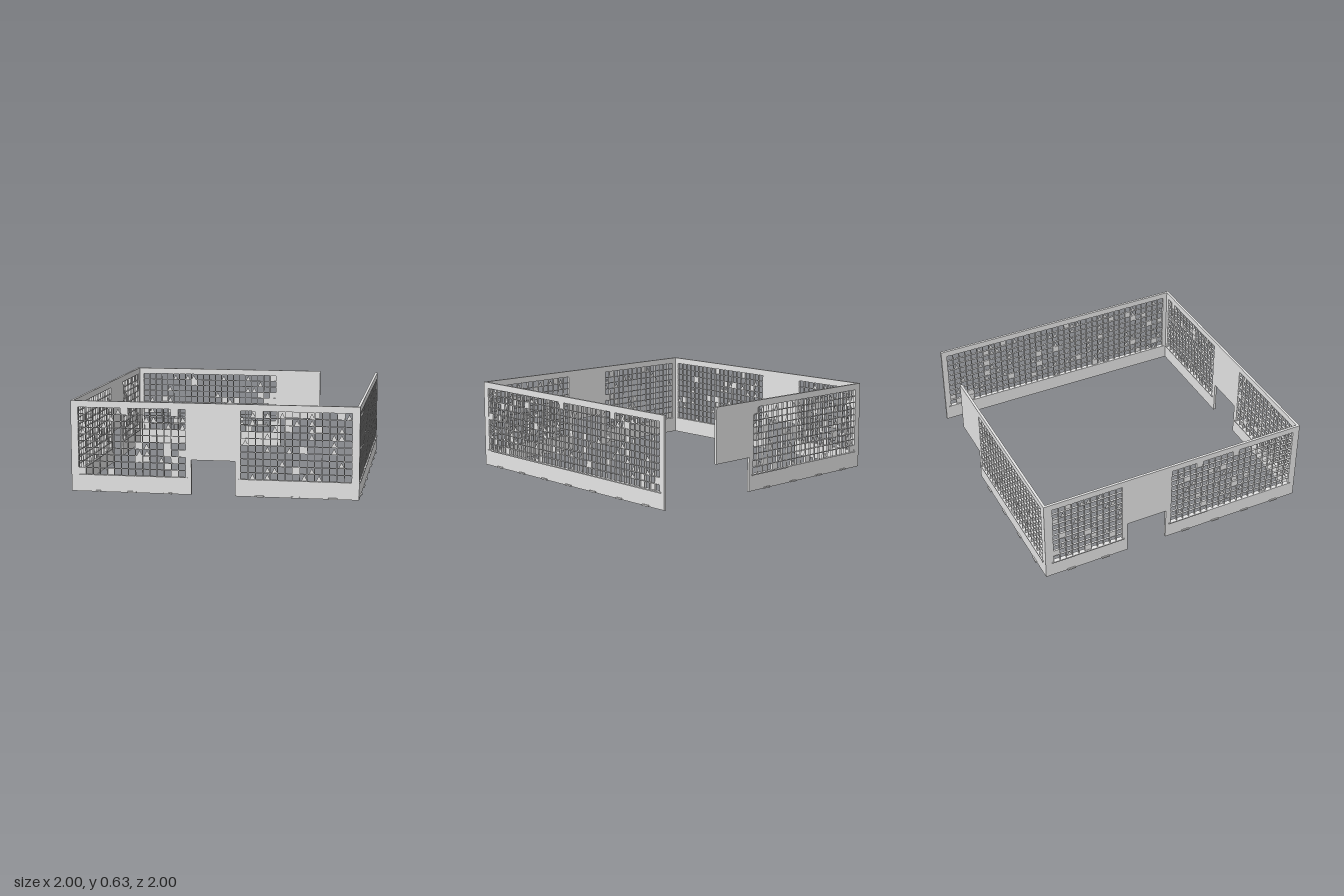
import * as THREE from 'three';
import { mergeGeometries } from 'three/addons/utils/BufferGeometryUtils.js';

const HEIGHT = 0.63, DOOR_TOP = 0.24, DEPTH = 0.018, OFFSET = 0.982;
const GRID_BOTTOM = 0.118, GRID_TOP = 0.585, ROWS = 10, BAR = 0.004;

// Walls run along local x with local +z facing outwards.
const WALLS = [
  { name: 'frontWall', pos: [0, 0, OFFSET], turn: 0, from: -0.991, to: 0.991,
    door: [-0.15, 0.15], grids: [[-0.94, -0.19], [0.19, 0.94]] },
  { name: 'backWall', pos: [0, 0, -OFFSET], turn: Math.PI, from: -0.527, to: 0.991,
    door: [-0.527, -0.205], grids: [[-0.165, 0.94]] },
  { name: 'leftWall', pos: [OFFSET, 0, 0], turn: Math.PI / 2, from: -0.973, to: 0.973,
    door: null, grids: [[-0.94, 0.93]] },
  { name: 'rightWall', pos: [-OFFSET, 0, 0], turn: -Math.PI / 2, from: -0.973, to: 0.973,
    door: [-0.37, -0.07], grids: [[-0.93, -0.41], [-0.03, 0.94]] },
];

function seeded(seed) {
  return () => (seed = (seed * 16807) % 2147483647) / 2147483647;
}

function box(w, h, d, x, y, z) {
  return new THREE.BoxGeometry(w, h, d).translate(x, y, z);
}

// Solid panel with a doorway notch and rectangular grid openings.
function panelGeometry({ from, to, door, grids }) {
  const pts = [[to, 0], [to, HEIGHT], [from, HEIGHT]];
  if (!door) pts.push([from, 0]);
  else {
    if (door[0] > from) pts.push([from, 0], [door[0], 0]);
    pts.push([door[0], DOOR_TOP], [door[1], DOOR_TOP], [door[1], 0]);
  }
  const shape = new THREE.Shape(pts.map(p => new THREE.Vector2(...p)));
  for (const [a, b] of grids) {
    const hole = [[a, GRID_BOTTOM], [a, GRID_TOP], [b, GRID_TOP], [b, GRID_BOTTOM]];
    shape.holes.push(new THREE.Path(hole.map(p => new THREE.Vector2(...p))));
  }
  return new THREE.ExtrudeGeometry(shape, { depth: DEPTH, bevelEnabled: false })
    .translate(0, 0, -DEPTH / 2);
}

// Crossing slats that fill one opening.
function gridGeometry(a, b) {
  const parts = [], cols = Math.round((b - a) / 0.0495);
  const h = GRID_TOP - GRID_BOTTOM, midY = (GRID_TOP + GRID_BOTTOM) / 2;
  for (let i = 1; i < cols; i++) {
    parts.push(box(BAR, h, DEPTH - 0.002, a + (b - a) * i / cols, midY, 0));
  }
  for (let j = 1; j < ROWS; j++) {
    parts.push(box(b - a, BAR, DEPTH - 0.003, (a + b) / 2, GRID_BOTTOM + h * j / ROWS, 0));
  }
  return mergeGeometries(parts);
}

// Scattered cells closed by a square or a corner triangle.
function infillGeometry(a, b, random) {
  const parts = [], cols = Math.round((b - a) / 0.0495);
  const w = (b - a) / cols, h = (GRID_TOP - GRID_BOTTOM) / ROWS;
  for (let i = 0; i < cols; i++) {
    for (let j = 0; j < ROWS; j++) {
      const r = random();
      if (r > 0.22) continue;
      const pts = r < 0.07 ? [[0, 0], [w, 0], [w, h], [0, h]]
        : [[w * 0.2, 0], [w, 0], [w * 0.6, h * 0.85]];
      const shape = new THREE.Shape(pts.map(p => new THREE.Vector2(...p)));
      const z = (random() < 0.5 ? -1 : 1) * DEPTH * 0.3;
      parts.push(new THREE.ShapeGeometry(shape).translate(a + w * i, GRID_BOTTOM + h * j, z));
    }
  }
  return mergeGeometries(parts);
}

// Narrow ledge below a grid, projecting on both sides.
function ledgeGeometry(a, b) {
  return box(b - a + 0.03, 0.008, 0.031, (a + b) / 2, GRID_BOTTOM - 0.004, 0);
}

// Low tabs along the outer foot of the wall.
function tabsGeometry(a, b) {
  const parts = [], count = Math.max(2, Math.round((b - a) / 0.27));
  for (let i = 0; i < count; i++) {
    const x = a + (b - a) * (i + 0.5) / count;
    parts.push(box(0.06, 0.01, 0.01, x, 0.005, 0.013));
  }
  return mergeGeometries(parts);
}

export function createModel() {
  const grey = new THREE.MeshStandardMaterial({ color: 0xe6e6e6, side: THREE.DoubleSide });
  grey.name = 'light grey';
  const model = new THREE.Group();
  model.name = 'enclosure';
  const random = seeded(4711);

  for (const spec of WALLS) {
    const wall = new THREE.Group();
    wall.name = spec.name;
    wall.position.set(...spec.pos);
    wall.rotation.y = spec.turn;
    const add = (name, geometry) => {
      const mesh = new THREE.Mesh(geometry, grey);
      mesh.name = name;
      wall.add(mesh);
    };
    add('panel', panelGeometry(spec));
    for (const [a, b] of spec.grids) {
      add('grid', gridGeometry(a, b));
      add('gridInfill', infillGeometry(a, b, random));
      add('ledge', ledgeGeometry(a, b));
      add('footTabs', tabsGeometry(a, b));
    }
    model.add(wall);
  }
  return model;
}
